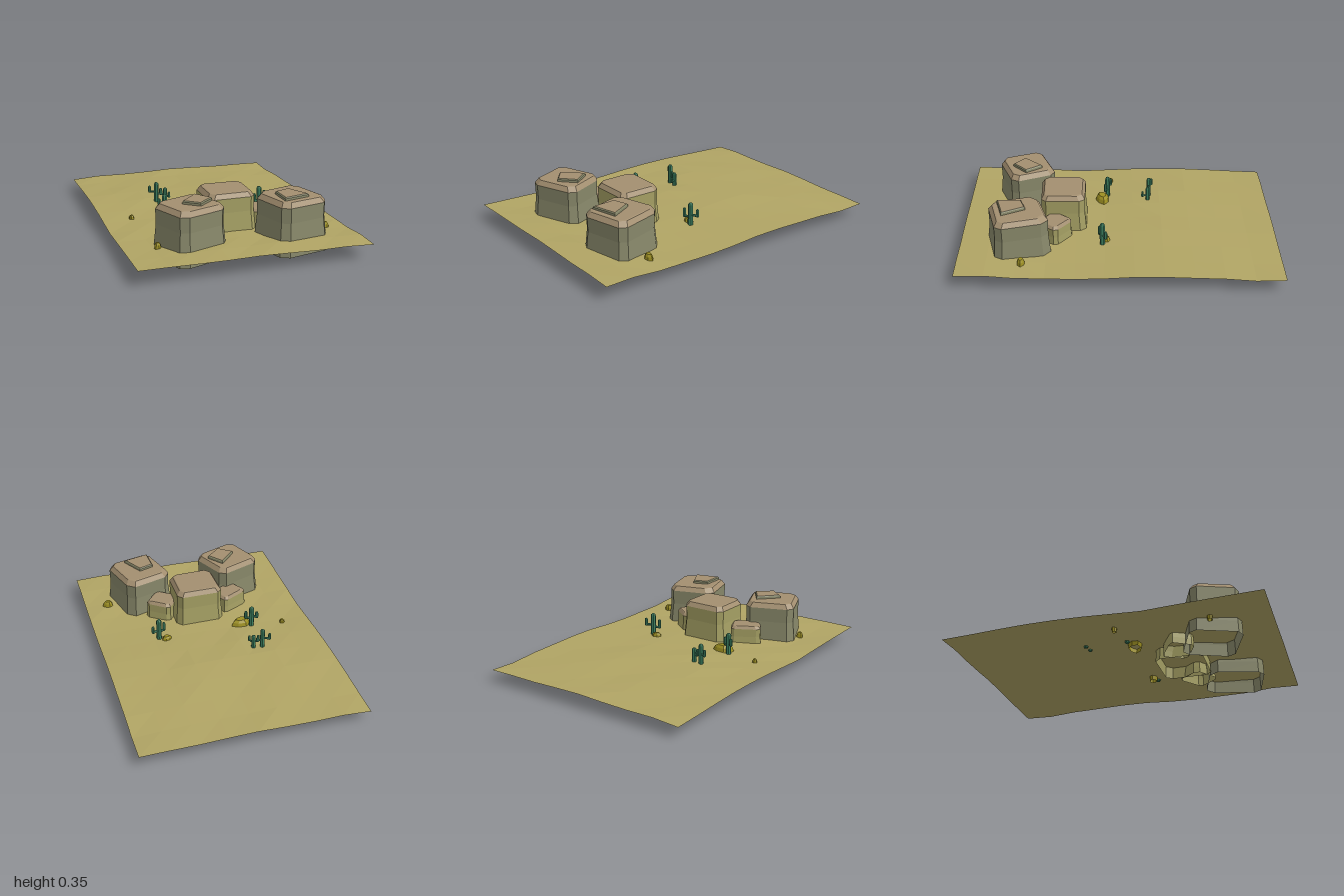
import * as THREE from 'three';

const mat = (color) => new THREE.MeshStandardMaterial({ color, flatShading: true, side: THREE.DoubleSide });
const SAND = mat(0xb0a464), STONE = mat(0x88886a), PALE = mat(0xa5a064), CAP = mat(0xa38f70);
const OLIVE = mat(0x9c8f22), GREEN = mat(0x3c8060);

let seed = 7;
const rand = () => ((seed = (seed * 16807) % 2147483647) / 2147483647) * 2 - 1;

// Rolling height of the sand
const height = (x, z) => 0.088 + 0.01 * Math.cos(5 * (z + 0.3)) + 0.006 * Math.cos(4 * x);

// Rectangle with cut corners, as points on the ground plane
function cutRectangle(w, d, c) {
  return [[w, d - c], [w - c, d], [c - w, d], [-w, d - c], [-w, c - d], [c - w, -d], [w - c, -d], [w, c - d]];
}

// Stack of scaled copies of one outline; levels are [y, scale]
function loft(outline, levels, closed) {
  const pos = [], index = [], n = outline.length;
  for (const [y, s] of levels) for (const [x, z] of outline) pos.push(x * s, y, z * s);
  for (let l = 0; l < levels.length - 1; l++) {
    for (let i = 0; i < n; i++) {
      const a = l * n + i, b = l * n + (i + 1) % n;
      index.push(a, a + n, b, b, a + n, b + n);
    }
  }
  if (closed) {
    const top = (levels.length - 1) * n;
    for (let i = 1; i < n - 1; i++) index.push(top, top + i + 1, top + i);
  }
  const g = new THREE.BufferGeometry();
  g.setAttribute('position', new THREE.Float32BufferAttribute(pos, 3));
  g.setIndex(index);
  g.computeVertexNormals();
  return g;
}

function add(parent, name, geometry, material) {
  const m = new THREE.Mesh(geometry, material);
  m.name = name;
  parent.add(m);
  return m;
}

// Boulder: flared wall plus a bevelled cap of another colour
function boulder(name, x, z, w, d, turn, base, top, wallMat) {
  const g = new THREE.Group();
  g.name = name;
  const h = top - base;
  const outline = cutRectangle(w, d, Math.min(w, d) * 0.26)
    .map(([px, pz]) => [px + rand() * 0.006, pz + rand() * 0.006]);
  const rim = base + h * 0.9;
  add(g, name + 'Wall', loft(outline, [[base, 1], [base + h * 0.22, 0.985], [base + h * 0.62, 0.92], [rim, 0.93]], false), wallMat);
  add(g, name + 'Cap', loft(outline, [[rim, 0.93], [top - 0.003, 0.81], [top, 0.76]], true), CAP);
  g.position.set(x, 0, z);
  g.rotation.y = turn;
  return g;
}

// Flat stone lying on a boulder, corners given around its centre
function slab(name, x, z, corners) {
  const g = new THREE.Group();
  g.name = name;
  add(g, name + 'Edge', loft(corners, [[0.32, 1.02], [0.343, 1], [0.35, 0.92]], false), STONE);
  add(g, name + 'Top', loft(corners, [[0.35, 0.92], [0.3501, 0.9]], true), CAP);
  g.position.set(x, 0, z);
  return g;
}

// Small angular stone half sunk in the sand
function pebble(x, z, rx, rz, rise, turn) {
  const outline = [];
  for (let i = 0; i < 7; i++) {
    const a = -i / 7 * Math.PI * 2, r = 1 + rand() * 0.12;
    outline.push([Math.cos(a) * rx * r, -Math.sin(a) * rz * r]);
  }
  const m = new THREE.Mesh(loft(outline, [[-0.03, 0.9], [0, 1], [rise * 0.6, 0.85], [rise, 0.55]], true), OLIVE);
  m.name = 'pebble';
  m.position.set(x, height(x, z), z);
  m.rotation.y = turn;
  return m;
}

// Cactus: rounded trunk with elbowed arms; arms are [angle, elbow height, reach, rise]
function cactus(x, z, tall, r, arms) {
  const g = new THREE.Group();
  g.name = 'cactus';
  add(g, 'trunk', new THREE.CapsuleGeometry(r, tall - r, 3, 7), GREEN).position.y = (tall - r) / 2;
  for (const [angle, y, reach, rise] of arms) {
    const arm = new THREE.Group();
    arm.name = 'arm';
    const link = add(arm, 'armLink', new THREE.CylinderGeometry(r * 0.45, r * 0.45, reach, 6), GREEN);
    link.rotation.z = Math.PI / 2;
    link.position.set(reach / 2, y, 0);
    add(arm, 'armTip', new THREE.CapsuleGeometry(r * 0.62, rise, 2, 6), GREEN).position.set(reach, y + rise / 2, 0);
    arm.rotation.y = angle;
    g.add(arm);
  }
  g.position.set(x, height(x, z), z);
  return g;
}

export function createModel() {
  const model = new THREE.Group();
  model.name = 'desertRocks';

  // Sand sheet, slightly skewed and uneven
  const sand = new THREE.PlaneGeometry(1.41, 1.975, 8, 11).rotateX(-Math.PI / 2);
  const p = sand.attributes.position;
  for (let i = 0; i < p.count; i++) {
    const x = p.getX(i), z = p.getZ(i);
    p.setXYZ(i, x, height(x, z) + rand() * 0.005, z - 0.012 * x / 0.7);
  }
  sand.computeVertexNormals();
  add(model, 'sand', sand, SAND);

  // Boulders in an arc
  model.add(
    boulder('rightBoulder', -0.3, 0.61, 0.172, 0.165, 0.38, 0, 0.33, STONE),
    boulder('leftBoulder', 0.325, 0.62, 0.172, 0.175, 0.28, 0, 0.33, STONE),
    boulder('middleBoulder', 0, 0.355, 0.165, 0.15, 0, 0.01, 0.322, PALE),
    boulder('rightSmallBoulder', -0.245, 0.385, 0.1, 0.08, 0.5, 0.01, 0.195, PALE),
    boulder('leftSmallBoulder', 0.215, 0.4, 0.09, 0.085, -0.65, 0.01, 0.2, PALE)
  );

  // Flat stones on top
  model.add(
    slab('rightSlab', -0.26, 0.605, [[0.095, 0.005], [0, 0.095], [-0.09, 0.025], [0.02, -0.095]]),
    slab('leftSlab', 0.31, 0.66, [[0.09, 0.05], [-0.075, 0.095], [-0.08, -0.055], [0.015, -0.09]])
  );

  // Scattered stones
  model.add(
    pebble(-0.25, 0.115, 0.068, 0.045, 0.04, 0.2),
    pebble(-0.52, 0.065, 0.017, 0.015, 0.022, 0),
    pebble(0.268, 0.08, 0.032, 0.025, 0.022, 0.4),
    pebble(0.553, 0.587, 0.036, 0.028, 0.04, 0),
    pebble(-0.505, 0.643, 0.022, 0.018, 0.032, 0.6)
  );

  // Cacti
  model.add(
    cactus(0.315, 0.1, 0.145, 0.017, [[0.45, 0.065, 0.048, 0.035], [3.6, 0.05, 0.042, 0.045]]),
    cactus(-0.31, 0.08, 0.14, 0.017, [[2.6, 0.07, 0.035, 0.03], [-0.4, 0.055, 0.038, 0.04]]),
    cactus(-0.292, -0.195, 0.13, 0.015, [[2.7, 0.065, 0.045, 0.03], [-0.15, 0.05, 0.028, 0.03]]),
    cactus(-0.235, -0.187, 0.09, 0.014, [[-1.1, 0.035, 0.038, 0.025], [2.9, 0.045, 0.025, 0.02]])
  );
  return model;
}
